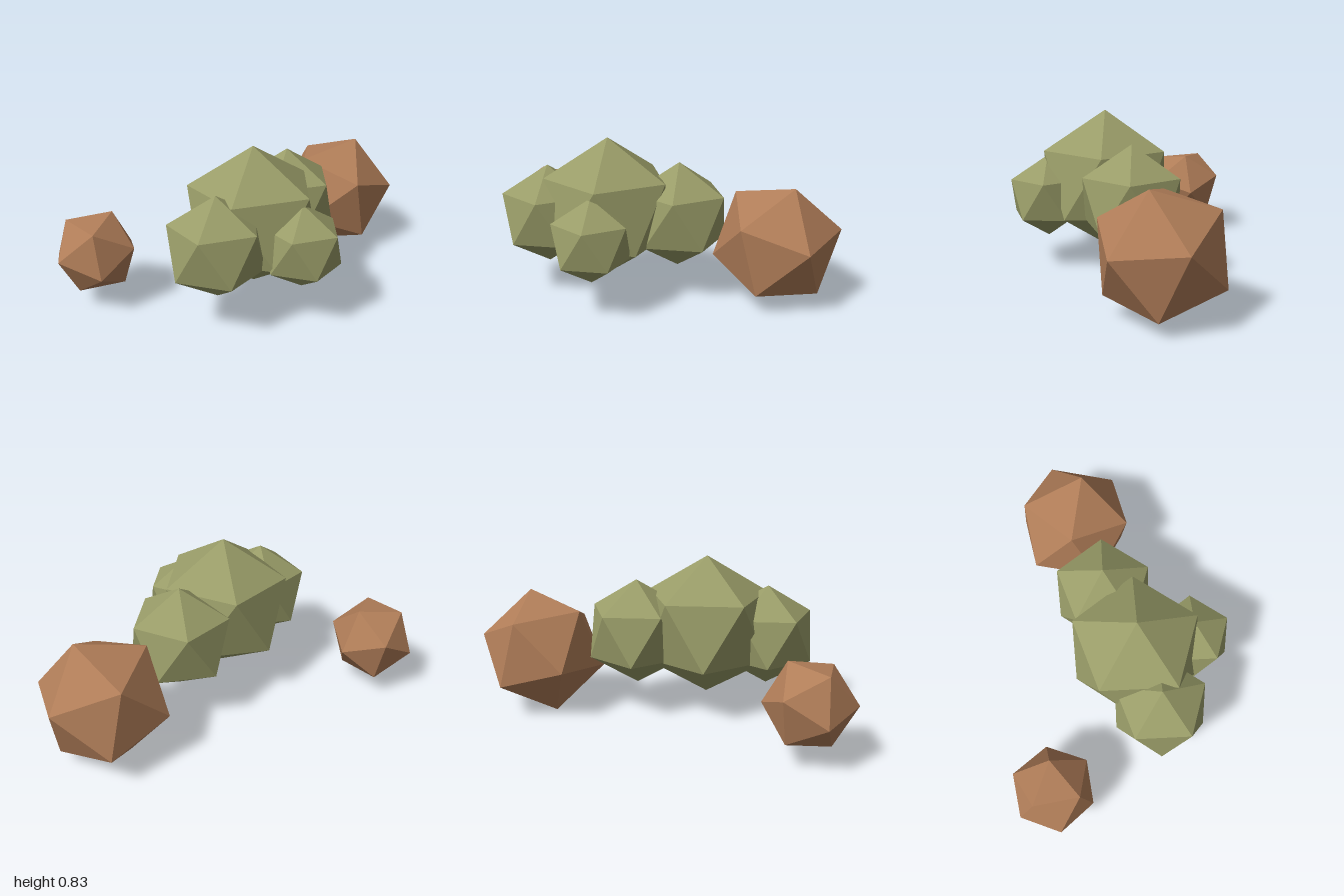
import * as THREE from 'three';

const V = (a) => new THREE.Vector3(...a);

// Icosahedron with a corner at the pole (+y) and an upper-ring corner toward +z
function poleIcosahedron(radius) {
  const t = (1 + Math.sqrt(5)) / 2;
  return new THREE.IcosahedronGeometry(radius, 0).rotateX(-Math.atan(t));
}

// Places a low-poly lump; pole and neighbour are the directions of two adjacent corners
function lump(name, material, radius, centre, pole = [0, 1, 0], neighbour = [1, 0, 0]) {
  const y = V(pole).normalize();
  const x = new THREE.Vector3().crossVectors(y, V(neighbour)).normalize();
  const z = new THREE.Vector3().crossVectors(x, y);
  const mesh = new THREE.Mesh(poleIcosahedron(radius), material);
  mesh.name = name;
  mesh.quaternion.setFromRotationMatrix(new THREE.Matrix4().makeBasis(x, y, z));
  mesh.position.set(...centre);
  return mesh;
}

export function createModel() {
  const model = new THREE.Group();
  model.name = 'bushAndRocks';

  const leafGreen = new THREE.MeshStandardMaterial({ color: 0x999c68, flatShading: true });
  leafGreen.name = 'leafGreen';
  const rockBrown = new THREE.MeshStandardMaterial({ color: 0xb07d58, flatShading: true });
  rockBrown.name = 'rockBrown';

  // Bush: four upright clumps
  const bush = new THREE.Group();
  bush.name = 'bush';
  bush.add(
    lump('mainClump', leafGreen, 0.367, [-0.118, 0.462, 0.077]),
    lump('rightClump', leafGreen, 0.263, [-0.415, 0.412, 0.185]),
    lump('frontClump', leafGreen, 0.217, [-0.043, 0.382, 0.375]),
    lump('leftClump', leafGreen, 0.278, [0.215, 0.428, -0.073]),
  );

  // Rocks: two tumbled lumps, one on each side
  const rocks = new THREE.Group();
  rocks.name = 'rocks';
  rocks.add(
    lump('largeRock', rockBrown, 0.33, [0.699, 0.313, -0.218], [0.1, 0.31, 0.056], [0.296, 0.078, -0.116]),
    lump('smallRock', rockBrown, 0.22, [-0.784, 0.281, -0.37], [0.108, 0.192, -0.004], [-0.106, 0.171, -0.09]),
  );

  model.add(bush, rocks);
  return model;
}
